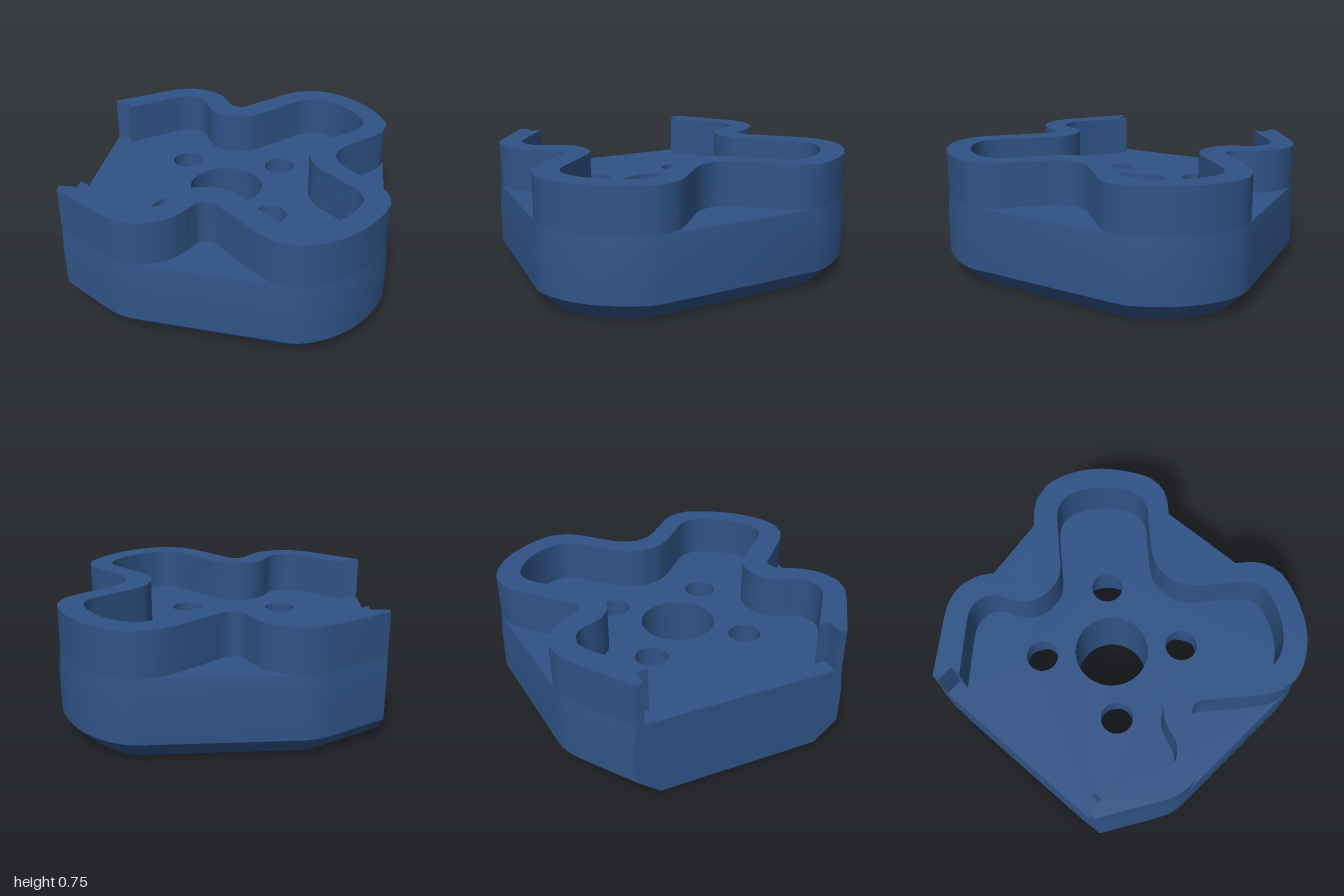
import * as THREE from 'three';
import { mergeGeometries, toCreasedNormals } from 'three/addons/utils/BufferGeometryUtils.js';

// Plan points are [x, s] with s = -z; rings run counter-clockwise seen from above.
const FLOOR = 0.49, TOP = 0.75, LEFT = -0.93;
const HUB = [-0.07, 0];

const smooth = (pts, n = 16) => new THREE.CatmullRomCurve3(
  pts.map(([x, s]) => new THREE.Vector3(x, s, 0)), false, 'centripetal')
  .getPoints(n).map(p => [p.x, p.y]);

// Joins a half outline (ending on s = 0) with its mirror image
const mirrorClose = half => [...half, ...half.slice(0, -1).reverse().map(([x, s]) => [x, -s])];

function circle([cx, cs], r, n = 40) {
  return Array.from({ length: n }, (_, i) => {
    const a = i / n * Math.PI * 2;
    return [cx + r * Math.cos(a), cs + r * Math.sin(a)];
  });
}

// Circle with a flat on the side that faces the central bore
function flattenedCircle(c, r, flat) {
  const dx = HUB[0] - c[0], ds = HUB[1] - c[1], len = Math.hypot(dx, ds);
  const ux = dx / len, us = ds / len;
  return circle(c, r, 64).map(([x, s]) => {
    const over = Math.max(0, (x - c[0]) * ux + (s - c[1]) * us - flat);
    return [x - over * ux, s - over * us];
  });
}

function slot(x0, x1, s, r, n = 10) {
  const arc = (cx, start) => Array.from({ length: n + 1 }, (_, i) => {
    const a = start + i / n * Math.PI;
    return [cx + r * Math.cos(a), s + r * Math.sin(a)];
  });
  return [...arc(x1, -Math.PI / 2), ...arc(x0, Math.PI / 2)];
}

// Half of the body outline, left to right
const HALF = [
  [-1.1, -0.522],
  ...smooth([[-0.64, -0.842], [-0.56, -0.889], [-0.5, -0.91], [-0.42, -0.922]], 10),
  ...smooth([[0.37, -0.993], [0.44, -0.998], [0.52, -0.983], [0.64, -0.925], [0.75, -0.835],
    [0.84, -0.715], [0.9, -0.6], [0.928, -0.52]], 28),
  [0.93, 0],
];

// Moves the half outline inward, keeping the flat left end in place
function insetHalf(d) {
  const normals = HALF.slice(1).map(([x, s], i) => {
    const tx = x - HALF[i][0], ts = s - HALF[i][1], l = Math.hypot(tx, ts);
    return [-ts / l, tx / l];
  });
  const pts = HALF.map(([x, s], i) => {
    const a = normals[Math.max(0, i - 1)];
    const b = i === HALF.length - 1 ? [-1, 0] : normals[i];
    const k = d / (1 + a[0] * b[0] + a[1] * b[1]);
    return [x + (a[0] + b[0]) * k, s + (a[1] + b[1]) * k];
  });
  pts[pts.length - 1][1] = 0;
  const [p, q] = pts, t = (LEFT - p[0]) / (q[0] - p[0]);
  pts[0] = [LEFT, p[1] + (q[1] - p[1]) * t];
  return pts;
}

// Side surface through rings stacked at the given heights
function loft(rings, heights, inward = false) {
  const pos = [], n = rings[0].length;
  const at = (k, i) => [rings[k][i % n][0], heights[k], -rings[k][i % n][1]];
  for (let k = 0; k < rings.length - 1; k++) {
    for (let i = 0; i < n; i++) {
      const [a, b, c, d] = [at(k, i), at(k, i + 1), at(k + 1, i + 1), at(k + 1, i)];
      pos.push(...(inward ? [a, c, b, a, d, c] : [a, b, c, a, c, d]).flat());
    }
  }
  const g = new THREE.BufferGeometry();
  g.setAttribute('position', new THREE.Float32BufferAttribute(pos, 3));
  return toCreasedNormals(g, 0.55);
}

// Flat face with holes, facing up or down
function cap(ring, holes, y, down = false) {
  const k = down ? -1 : 1;
  const vec = r => r.map(([x, s]) => new THREE.Vector2(x, s * k));
  const shape = new THREE.Shape(vec(ring));
  shape.holes = holes.map(h => new THREE.Path(vec(h)));
  const g = new THREE.ShapeGeometry(shape).rotateX(-k * Math.PI / 2).translate(0, y, 0).toNonIndexed();
  g.deleteAttribute('uv');
  return g;
}

export function createModel() {
  const model = new THREE.Group();
  const navy = new THREE.MeshStandardMaterial({ color: 0x2f5386 });
  navy.name = 'navy blue';
  const add = (name, ...geos) => {
    const mesh = new THREE.Mesh(mergeGeometries(geos), navy);
    mesh.name = name;
    model.add(mesh);
  };

  const topHalf = insetHalf(0.013);
  const bottom = mirrorClose(insetHalf(0.12));
  const full = mirrorClose(insetHalf(0));
  const top = mirrorClose(topHalf);

  // Holes
  const centres = [[-0.375, 0.305], [-0.375, -0.305], [0.24, 0.305], [0.24, -0.305]];
  const hubRing = circle(HUB, 0.225, 56);
  const screwRings = centres.map(c => circle(c, 0.097));
  const pockets = centres.map(c => flattenedCircle(c, 0.225, 0.19));
  const pocketTops = centres.map(c => flattenedCircle(c, 0.2, 0.19));
  const slots = [-0.61, 0.61].map(s => slot(-0.3, 0.21, s, 0.025));
  const pocketY = 0.36, slotY = 0.12;

  // Base block: chamfered foot, straight side, slight taper
  add('baseSides', loft([bottom, full, full, top], [0, 0.12, 0.36, FLOOR]));
  add('underside', cap(bottom, [hubRing, ...pockets, ...slots], 0, true));
  add('floor', cap(top, [hubRing, ...screwRings], FLOOR));

  // Bores, screw pockets and slots
  add('centralBore', loft([hubRing, hubRing], [0, FLOOR], true));
  centres.forEach((_, i) => add('screwHole',
    loft([pockets[i], pocketTops[i]], [0, pocketY], true),
    cap(pocketTops[i], [screwRings[i]], pocketY, true),
    loft([screwRings[i], screwRings[i]], [pocketY, FLOOR], true)));
  slots.forEach(r => add('undersideSlot', loft([r, r], [0, slotY], true), cap(r, [], slotY, true)));

  // Wavy wall: outer side follows the body on the lobes and dips between them
  const outerHalf = [
    ...topHalf.filter(([x]) => x < -0.43),
    ...smooth([[-0.4, -0.905], [-0.31, -0.875], [-0.23, -0.815], [-0.18, -0.745], [-0.15, -0.69],
      [-0.12, -0.65], [-0.075, -0.635], [-0.03, -0.65], [0.01, -0.69]], 28),
    ...smooth([[0.2, -0.875], [0.26, -0.925], [0.33, -0.965], [0.4, -0.98]], 8),
    ...topHalf.filter(([x, s]) => x > 0.42 && s < -0.5),
    ...smooth([[0.912, -0.45], [0.892, -0.385], [0.85, -0.325]], 8),
    ...smooth([[0.67, -0.148], [0.625, -0.085], [0.6, 0]], 8),
  ];
  // Inner side, with a stepped notch at the open end
  const innerHalf = [
    [LEFT, -0.58], [-0.825, -0.58], [-0.825, -0.512],
    ...smooth([[-0.56, -0.713], [-0.5, -0.748], [-0.44, -0.76], [-0.37, -0.742], [-0.315, -0.69],
      [-0.285, -0.615], [-0.235, -0.535], [-0.16, -0.488], [-0.075, -0.477], [0.01, -0.492],
      [0.08, -0.54]], 36),
    ...smooth([[0.3, -0.768], [0.36, -0.815], [0.43, -0.835], [0.5, -0.822], [0.6, -0.765], [0.69, -0.67],
      [0.745, -0.575], [0.767, -0.5], [0.755, -0.435], [0.725, -0.385]], 32),
    ...smooth([[0.52, -0.185], [0.465, -0.1], [0.445, 0]], 10),
  ];
  const wall = [...mirrorClose(outerHalf), ...mirrorClose(innerHalf).reverse()];
  add('wavyWall', loft([wall, wall], [FLOOR, TOP]), cap(wall, [], TOP));

  return model;
}
